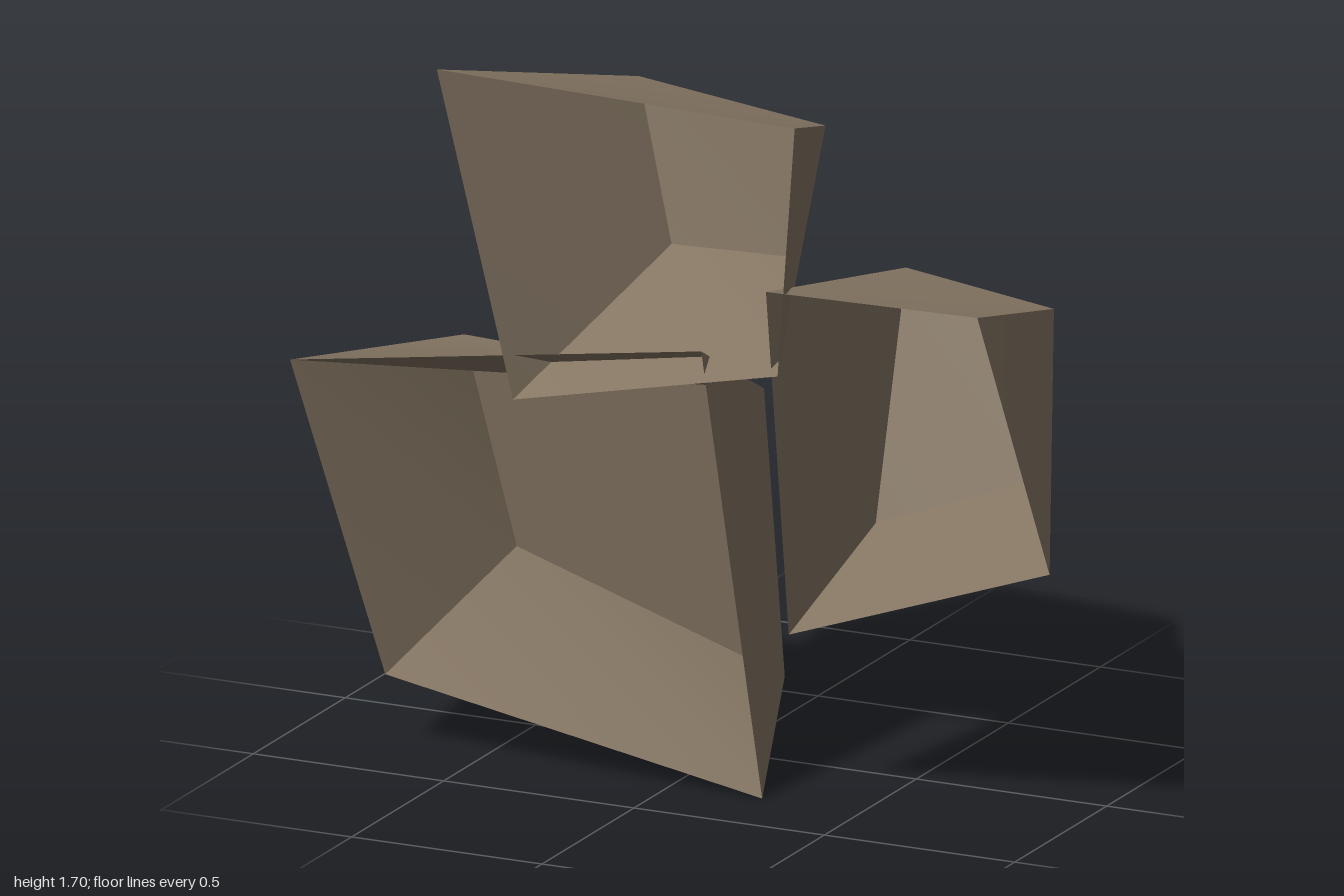
import * as THREE from 'three';

const stone = new THREE.MeshStandardMaterial({ color: 0x857663, side: THREE.DoubleSide });
stone.name = 'warm taupe';

// Thin-walled skewed box, open at the front.
// Corners run top left, top right, bottom right, bottom left as seen from +z.
function openBox(name, rimZ, rim, back) {
  const geo = new THREE.BoxGeometry(1, 1, 1);
  const pos = geo.attributes.position;
  for (let i = 0; i < pos.count; i++) {
    const right = pos.getX(i) > 0, top = pos.getY(i) > 0, front = pos.getZ(i) > 0;
    const k = top ? (right ? 1 : 0) : (right ? 2 : 3);
    const [x, y, z = rimZ] = front ? rim[k] : back[k];
    pos.setXYZ(i, x, y, z);
  }
  // Leave out the front face (+z) so the box is open
  const index = Array.from(geo.index.array);
  index.splice(24, 6);
  geo.setIndex(index);
  geo.clearGroups();
  geo.computeVertexNormals();
  const mesh = new THREE.Mesh(geo, stone);
  mesh.name = name;
  return mesh;
}

export function createModel() {
  const group = new THREE.Group();
  group.name = 'openBoxes';
  group.add(
    openBox('largeLowerBox', 0.3,
      [[-1, 0.92], [0.08, 1.085], [0.24, 0], [-0.75, 0.175]],
      [[-0.76, 0.89, -0.15], [0.025, 0.86, -0.155], [-0.005, 0.095, -0.33], [-0.685, 0.34, -0.28]]),
    openBox('upperBox', 0.33,
      [[-0.6, 1.7], [0.34, 1.68], [0.295, 1.06], [-0.4, 0.91]],
      [[-0.33, 1.57, -0.21], [0.17, 1.52, -0.19], [0.1, 1.19, -0.17], [-0.225, 1.18, -0.17]]),
    openBox('smallSideBox', 0.3,
      [[0.25, 1.255], [0.805, 1.265], [0.995, 0.655], [0.31, 0.415]],
      [[0.35, 1.175, -0.255], [0.76, 1.14, -0.21], [0.805, 0.765, -0.095], [0.345, 0.585, -0.1]]),
  );
  return group;
}
